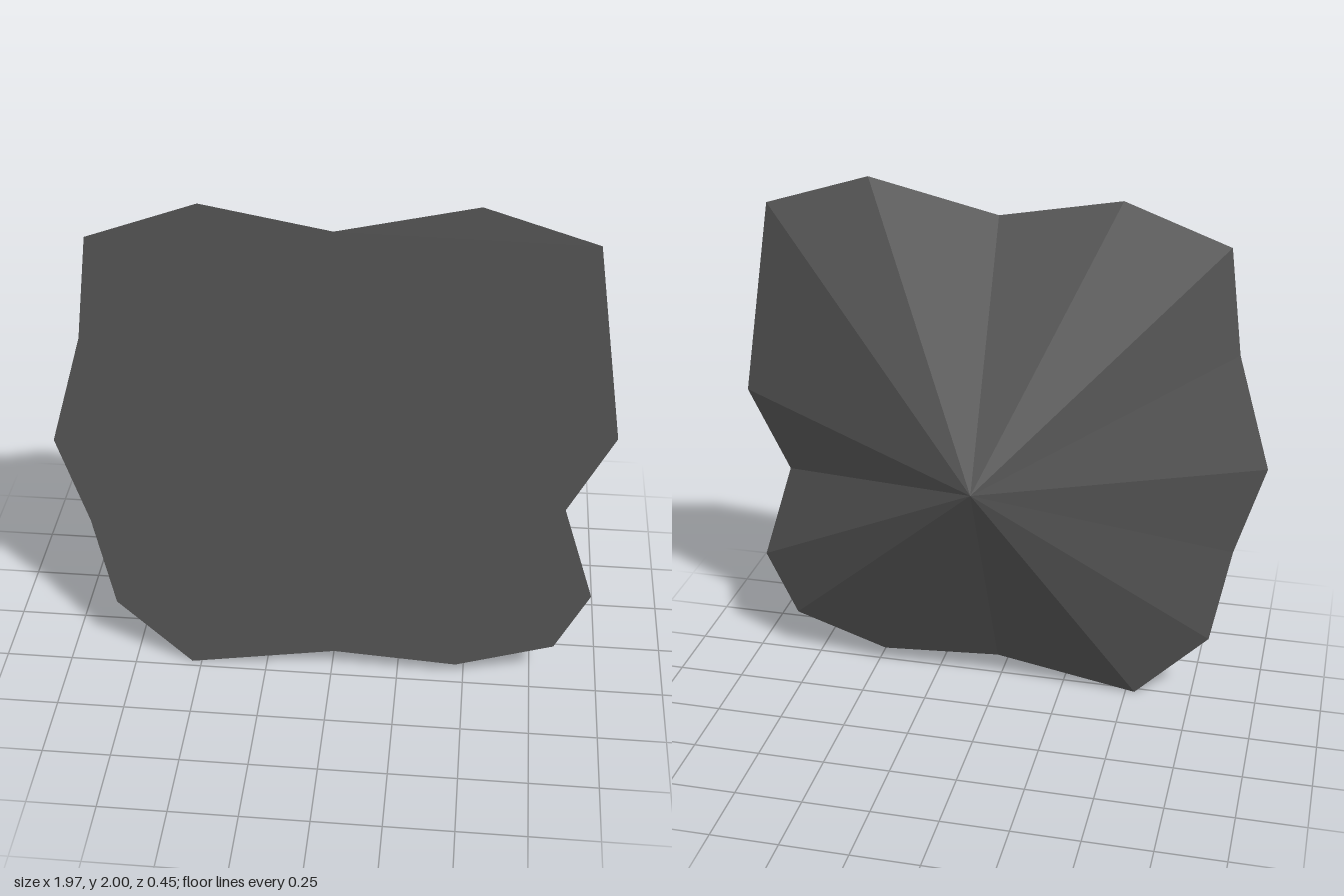
import * as THREE from 'three';

// Irregular rim, clockwise as seen from the front
const RIM = [
  [-0.81, 1.83], [-0.43, 1.97], [0.01, 1.89], [0.485, 2.0],
  [0.87, 1.88], [0.985, 1.14], [0.83, 0.825], [0.95, 0.44],
  [0.83, 0.19], [0.47, 0.07], [0.01, 0.1], [-0.535, 0.005],
  [-0.81, 0.28], [-0.88, 0.66], [-0.985, 1.01], [-0.86, 1.44],
];
const RIM_Z = 0.225;
const APEX = [0.01, 1.01, -0.225];

export function createModel() {
  const group = new THREE.Group();
  group.name = 'facetedRock';
  const stone = new THREE.MeshStandardMaterial({ color: 0x555555 });
  stone.name = 'dark grey stone';

  // Flat front face
  const outline = new THREE.Shape(RIM.map(([x, y]) => new THREE.Vector2(x, y)));
  const face = new THREE.Mesh(new THREE.ShapeGeometry(outline), stone);
  face.name = 'flatFace';
  face.position.z = RIM_Z;
  group.add(face);

  // Faceted back: one triangle from each rim edge to the apex
  const positions = [];
  RIM.forEach((a, i) => {
    const b = RIM[(i + 1) % RIM.length];
    positions.push(...a, RIM_Z, ...b, RIM_Z, ...APEX);
  });
  const geometry = new THREE.BufferGeometry();
  geometry.setAttribute('position', new THREE.Float32BufferAttribute(positions, 3));
  geometry.computeVertexNormals();
  const back = new THREE.Mesh(geometry, stone);
  back.name = 'facetedBack';
  group.add(back);

  return group;
}
